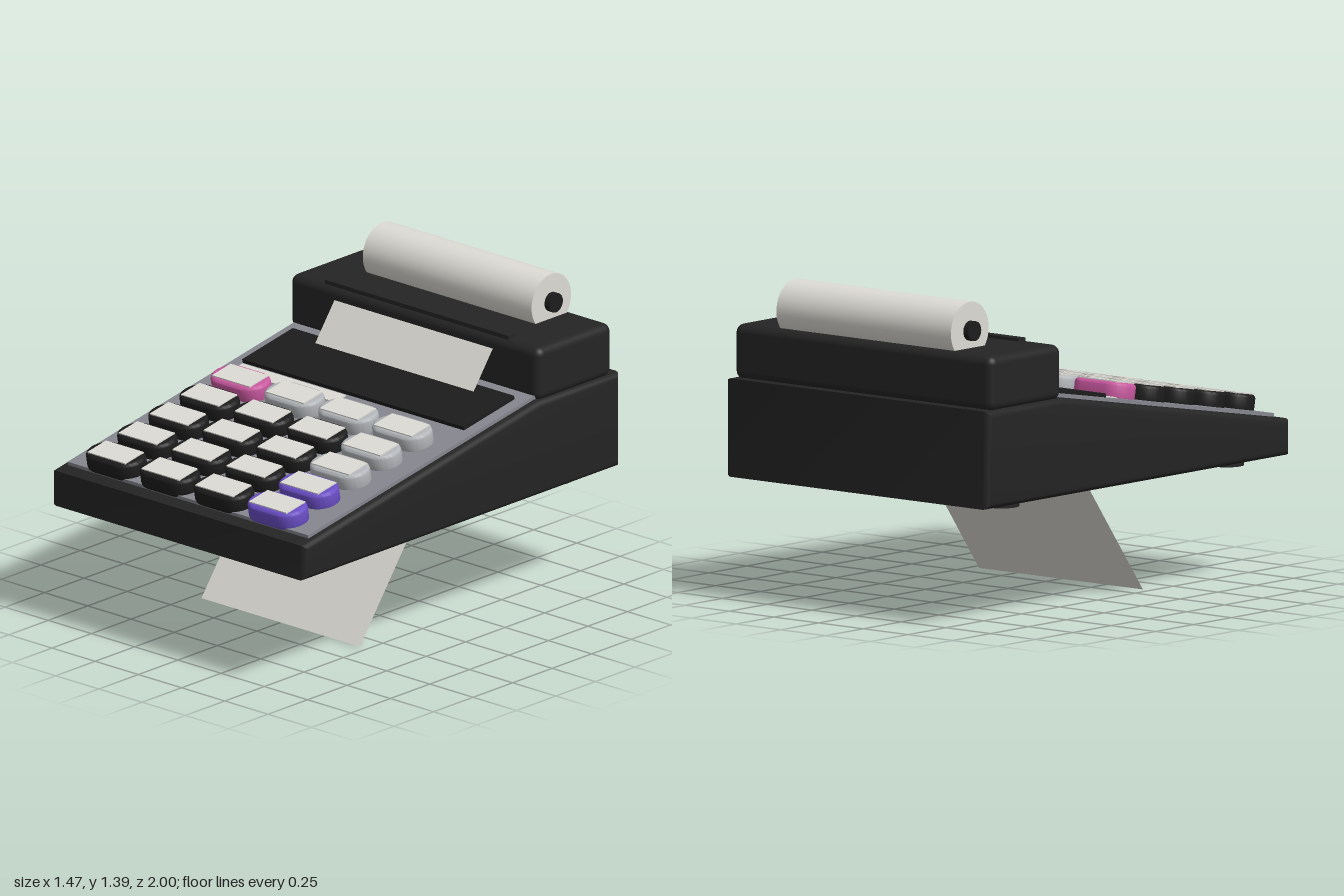
import * as THREE from 'three';
import { toCreasedNormals } from 'three/addons/utils/BufferGeometryUtils.js';
import { RoundedBoxGeometry } from 'three/addons/geometries/RoundedBoxGeometry.js';

const mat = (name, color, side = THREE.FrontSide) => {
  const m = new THREE.MeshStandardMaterial({ color, side });
  m.name = name;
  return m;
};

export function createModel() {
  const black = mat('black plastic', 0x242424);
  const displayBlack = mat('display black', 0x1c1c1c);
  const grey = mat('panel grey', 0x868790);
  const lightGrey = mat('light grey key', 0xb2b5b9);
  const purple = mat('purple key', 0x6a4ec6);
  const pink = mat('pink key', 0xc9589f);
  const paper = mat('paper', 0xdedcd5, THREE.DoubleSide);

  const model = new THREE.Group();
  const add = (parent, name, geometry, material, x = 0, y = 0, z = 0) => {
    const mesh = new THREE.Mesh(geometry, material);
    mesh.name = name;
    mesh.position.set(x, y, z);
    parent.add(mesh);
    return mesh;
  };
  const box = (w, h, d) => new THREE.BoxGeometry(w, h, d);

  // Wedge body: side profile extruded across the width with rounded sides
  const profile = new THREE.Shape([
    [-1, 0.53], [1, 0.53], [1, 0.955], [0.49, 0.955], [-1, 0.688],
  ].map(([u, y]) => new THREE.Vector2(u, y)));
  const bevel = 0.03;
  const bodyGeo = new THREE.ExtrudeGeometry(profile, {
    depth: 1.47 - 2 * bevel, bevelSize: bevel, bevelThickness: bevel,
    bevelOffset: -bevel, bevelSegments: 5,
  });
  bodyGeo.translate(0, 0, bevel - 0.735).rotateY(Math.PI / 2);
  add(model, 'body', toCreasedNormals(bodyGeo, 0.5), black);

  // Feet
  for (const x of [-0.592, 0.592]) for (const z of [-0.74, 0.745])
    add(model, 'foot', new THREE.CylinderGeometry(0.075, 0.075, 0.03, 28), black, x, 0.52, z);

  // Printer housing with its paper slot ridge
  add(model, 'printerHousing', new RoundedBoxGeometry(1.445, 0.24, 0.472, 4, 0.038), black, 0, 1.066, -0.727);
  add(model, 'slotRidge', box(1.06, 0.024, 0.045), black, 0, 1.187, -0.533);

  // Paper roll on its core
  const roll = add(model, 'paperRoll', new THREE.CylinderGeometry(0.125, 0.125, 0.976, 40), paper, 0, 1.262, -0.828);
  const core = add(model, 'rollCore', new THREE.CylinderGeometry(0.043, 0.043, 1.032, 24), displayBlack, 0, 1.262, -0.828);
  roll.rotation.z = core.rotation.z = Math.PI / 2;

  // Straight paper sheet running down and forward out of the printer
  const top = new THREE.Vector2(-0.495, 1.135), end = new THREE.Vector2(0.35, 0);
  const sheet = add(model, 'paperSheet', new THREE.PlaneGeometry(0.916, top.distanceTo(end)), paper,
    0, (top.y + end.y) / 2, (top.x + end.x) / 2);
  sheet.rotation.x = -Math.atan2(end.x - top.x, top.y - end.y);

  // Sloped face: everything below lies on the tilted top of the body
  const tilt = Math.atan(0.179);
  const face = new THREE.Group();
  face.name = 'slopedFace';
  face.position.y = 0.868;
  face.rotation.x = tilt;
  model.add(face);
  const along = (z) => z / Math.cos(tilt);

  add(face, 'facePanel', box(1.39, 0.03, along(1.44)), grey, 0, 0, along(0.215));
  add(face, 'display', box(1.28, 0.03, along(0.32)), displayBlack, 0, 0.017, along(-0.272));
  add(face, 'labelStrip', box(0.6, 0.005, 0.072), paper, -0.33, 0.0175, along(-0.065));

  // Rounded key cap with a softened top edge
  const w = 0.145, d = 0.082, r = 0.08, soft = 0.016, height = 0.08;
  const outline = new THREE.Shape();
  outline.moveTo(-w + r, -d);
  outline.lineTo(w - r, -d);
  outline.absarc(w - r, -d + r, r, -Math.PI / 2, 0);
  outline.absarc(w - r, d - r, r, 0, Math.PI / 2);
  outline.absarc(-w + r, d - r, r, Math.PI / 2, Math.PI);
  outline.absarc(-w + r, -d + r, r, Math.PI, Math.PI * 1.5);
  let keyGeo = new THREE.ExtrudeGeometry(outline, {
    depth: height - 2 * soft, bevelSize: soft, bevelThickness: soft,
    bevelOffset: -soft, bevelSegments: 3, curveSegments: 8,
  });
  keyGeo.translate(0, 0, soft).rotateX(-Math.PI / 2);
  keyGeo = toCreasedNormals(keyGeo, 0.7);
  const labelGeo = box(0.218, 0.006, 0.12);

  // Key grid, four columns by five rows
  for (let row = 0; row < 5; row++) {
    for (let col = 0; col < 4; col++) {
      let color = displayBlack;
      if (col === 3) color = row < 3 ? lightGrey : purple;
      else if (row === 0) color = col === 0 ? pink : lightGrey;
      const x = -0.47 + col * 0.3115, z = along(0.077 + row * 0.197);
      add(face, 'key', keyGeo, color, x, 0.002, z);
      add(face, 'keyLabel', labelGeo, paper, x, height + 0.004, z);
    }
  }
  return model;
}
